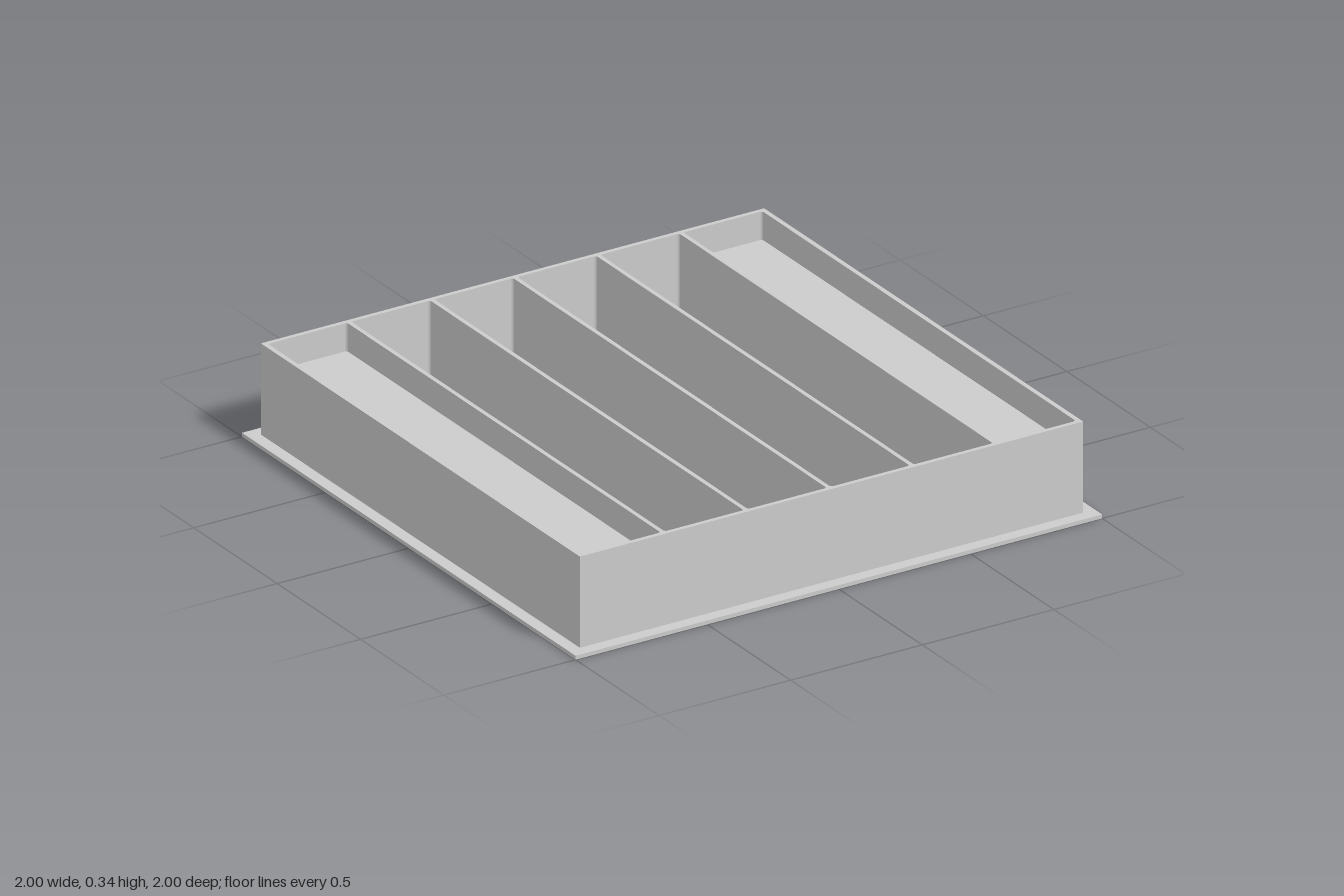
import * as THREE from 'three';

const material = new THREE.MeshStandardMaterial({ color: 0xcccccc, flatShading: true });

const PLATE = 0.014;   // base plate thickness
const TOP = 0.337;     // rim height
const OUTER = 0.956;   // half width of the tray walls
const PITCH = 0.3155;  // spacing of the compartments
const CELL_W = 0.3;
const CELL_L = 1.88;
const COUNT = 6;

// Rectangle with slightly rounded corners, centred on (cx, 0)
function roundedRect(path, cx, w, h, r) {
  const x = cx - w / 2, y = -h / 2;
  path.moveTo(x + r, y);
  path.lineTo(x + w - r, y);
  path.absarc(x + w - r, y + r, r, -Math.PI / 2, 0);
  path.lineTo(x + w, y + h - r);
  path.absarc(x + w - r, y + h - r, r, 0, Math.PI / 2);
  path.lineTo(x + r, y + h);
  path.absarc(x + r, y + h - r, r, Math.PI / 2, Math.PI);
  path.lineTo(x, y + r);
  path.absarc(x + r, y + r, r, Math.PI, Math.PI * 1.5);
  return path;
}

function addBox(group, name, w, h, d, x, y) {
  const mesh = new THREE.Mesh(new THREE.BoxGeometry(w, h, d), material);
  mesh.name = name;
  mesh.position.set(x, y + h / 2, 0);
  group.add(mesh);
}

export function createModel() {
  const group = new THREE.Group();
  group.name = 'dividedTray';

  // Thin plate projecting all round as a flange
  addBox(group, 'basePlate', 2, PLATE, 2, 0, 0);

  // Outer walls and dividers in one piece, with a hole per compartment
  const outline = new THREE.Shape();
  outline.moveTo(-OUTER, -OUTER);
  outline.lineTo(OUTER, -OUTER);
  outline.lineTo(OUTER, OUTER);
  outline.lineTo(-OUTER, OUTER);
  outline.closePath();
  const centres = Array.from({ length: COUNT }, (_, i) => (i - (COUNT - 1) / 2) * PITCH);
  for (const cx of centres) {
    outline.holes.push(roundedRect(new THREE.Path(), cx, CELL_W, CELL_L, 0.01));
  }
  const walls = new THREE.ExtrudeGeometry(outline, {
    depth: TOP - PLATE, bevelEnabled: false, curveSegments: 4,
  });
  walls.rotateX(-Math.PI / 2);
  const frame = new THREE.Mesh(walls, material);
  frame.name = 'wallsAndDividers';
  frame.position.y = PLATE;
  group.add(frame);

  // Compartment floors: the two end compartments are shallow, the others deep
  centres.forEach((cx, i) => {
    const shallow = i === 0 || i === COUNT - 1;
    const floorTop = shallow ? 0.237 : 0.03;
    addBox(group, shallow ? 'shallowFloor' : 'deepFloor',
      CELL_W + 0.006, floorTop - PLATE, CELL_L + 0.006, cx, PLATE);
  });

  return group;
}
